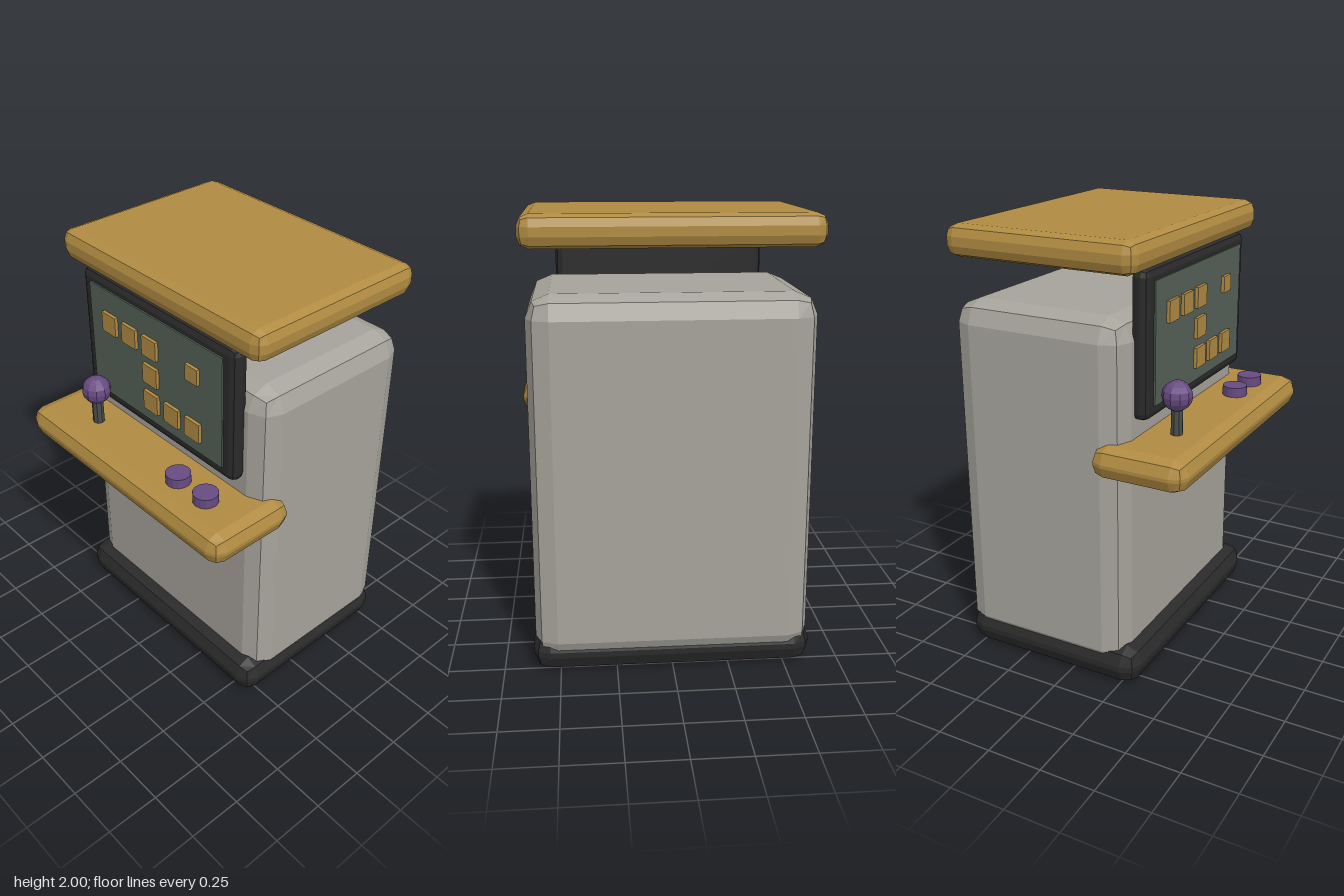
import * as THREE from 'three';
import { RoundedBoxGeometry } from 'three/addons/geometries/RoundedBoxGeometry.js';

const material = (name, color) => {
  const m = new THREE.MeshStandardMaterial({ color });
  m.name = name;
  return m;
};

// Gives every face its own normal for a faceted look
function faceted(geometry) {
  const g = geometry.index ? geometry.toNonIndexed() : geometry;
  g.deleteAttribute('normal');
  g.computeVertexNormals();
  return g;
}

export function createModel() {
  const model = new THREE.Group();
  model.name = 'arcadeCabinet';

  const grey = material('warm grey', 0xa6a39b);
  const ochre = material('ochre', 0xb08b42);
  const black = material('charcoal', 0x2a2a2a);
  const glass = material('screen grey', 0x556058);
  const steel = material('dark steel', 0x4a4d4c);
  const purple = material('purple', 0x684b82);

  function add(name, geometry, mat, x = 0, y = 0, z = 0, parent = model) {
    const mesh = new THREE.Mesh(faceted(geometry), mat);
    mesh.name = name;
    mesh.position.set(x, y, z);
    parent.add(mesh);
    return mesh;
  }

  // Chamfered slab given by half width, y range, z range and edge radius
  function slab(name, mat, halfW, y0, y1, z0, z1, radius) {
    const g = new RoundedBoxGeometry(2 * halfW, y1 - y0, z1 - z0, 1, radius);
    return add(name, g, mat, 0, (y0 + y1) / 2, (z0 + z1) / 2);
  }

  // Cabinet
  slab('base', black, 0.62, 0, 0.175, -0.56, 0.335, 0.075);
  slab('body', grey, 0.61, 0.05, 1.675, -0.572, 0.265, 0.1);
  slab('controlShelf', ochre, 0.665, 1.005, 1.15, 0.135, 0.575, 0.065);
  slab('roof', ochre, 0.63, 1.86, 2, -0.565, 0.335, 0.05);

  // Screen
  slab('screenFrame', black, 0.492, 1.23, 1.868, 0.245, 0.325, 0.032);
  add('screen', new THREE.BoxGeometry(0.86, 0.53, 0.009), glass, 0, 1.553, 0.328);

  // Blocks on the screen, by column and row
  const blocks = new THREE.Group();
  blocks.name = 'screenBlocks';
  model.add(blocks);
  const step = 0.136;
  const cells = [[-2, 0], [-1, 0], [0, 0], [0, 1], [0, 2], [1, 2], [2, 2], [2, 0]];
  cells.forEach(([col, row], i) => {
    const size = i === cells.length - 1 ? 0.075 : 0.093;
    add('screenBlock', new THREE.BoxGeometry(size, size, 0.016), ochre,
      -0.014 + col * step, 1.668 - row * step, 0.34, blocks);
  });

  // Joystick
  const joystick = new THREE.Group();
  joystick.name = 'joystick';
  joystick.position.set(-0.35, 1.14, 0.395);
  model.add(joystick);
  add('joystickShaft', new THREE.CylinderGeometry(0.027, 0.027, 0.16, 8), steel, 0, 0.08, 0, joystick);
  add('joystickBall', new THREE.SphereGeometry(0.067, 10, 8), purple, 0, 0.182, 0, joystick);

  // Buttons
  for (const x of [0.24, 0.418]) {
    add('button', new THREE.CylinderGeometry(0.057, 0.057, 0.06, 14), purple, x, 1.165, 0.41);
  }

  return model;
}
